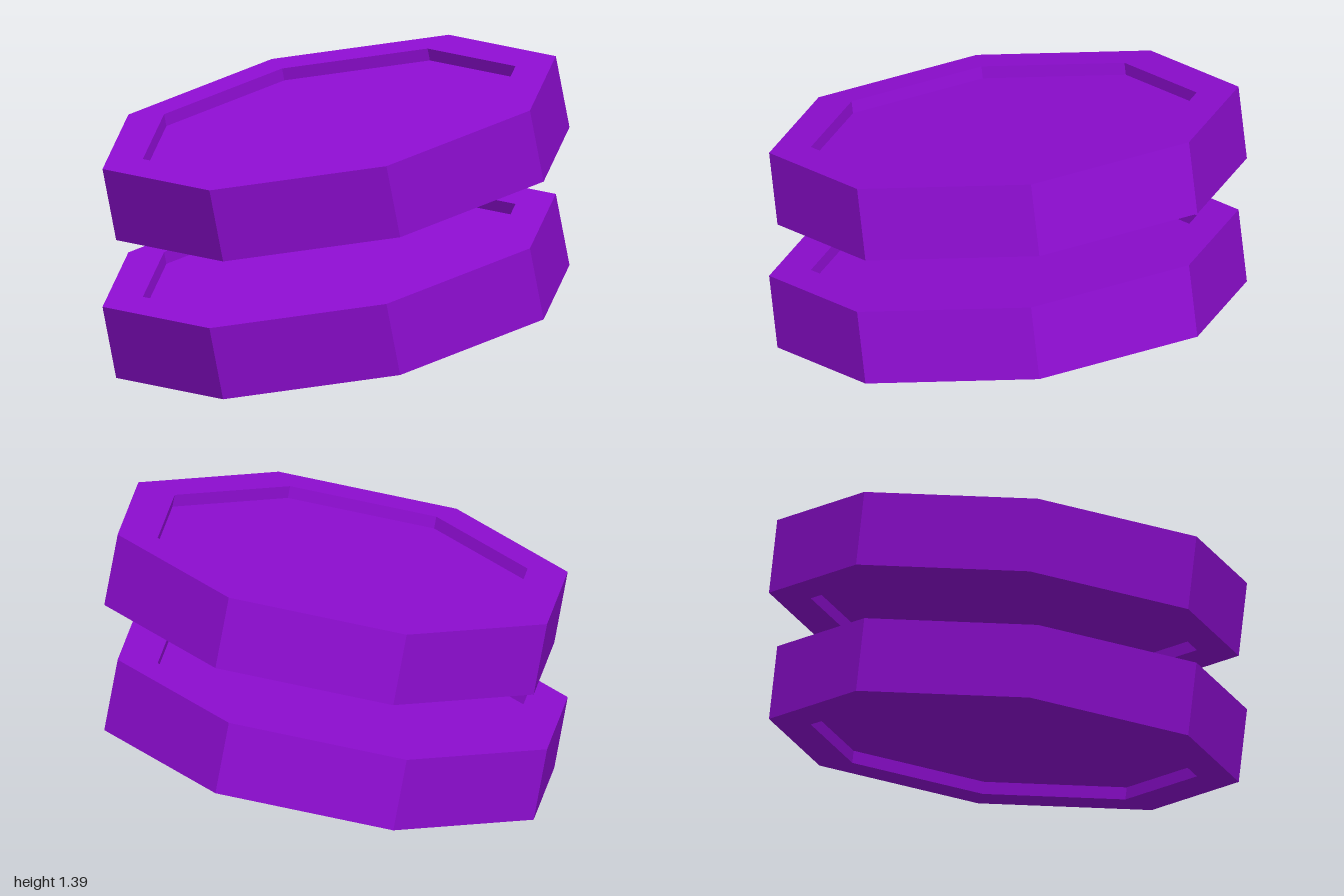
import * as THREE from 'three';

const OUTER = 1.062, INNER = 0.873; // corner radii of the octagons
const HALF = 0.168, DEPTH = 0.056;  // half thickness, depth of the recesses

// Eight-sided disc with a shallow recess in its top and bottom
function discGeometry() {
  const profile = [
    [0, DEPTH - HALF], [INNER, DEPTH - HALF], [INNER, -HALF], [OUTER, -HALF],
    [OUTER, HALF], [INNER, HALF], [INNER, HALF - DEPTH], [0, HALF - DEPTH],
  ].map(([r, y]) => new THREE.Vector2(r, y));
  const geometry = new THREE.LatheGeometry(profile, 8, Math.PI / 8).toNonIndexed();
  geometry.computeVertexNormals(); // flat facets
  return geometry;
}

export function createModel() {
  const model = new THREE.Group();
  model.name = 'stackedDiscs';
  const purple = new THREE.MeshStandardMaterial({ color: 0x8f0dd3 });
  purple.name = 'purple';
  const geometry = discGeometry();

  // Two parallel tilted discs, one above the other
  [['lowerDisc', 0.387], ['upperDisc', 1.009]].forEach(([name, y]) => {
    const disc = new THREE.Mesh(geometry, purple);
    disc.name = name;
    disc.position.y = y;
    disc.rotation.set(0, 0.021, 0.227);
    model.add(disc);
  });
  return model;
}
